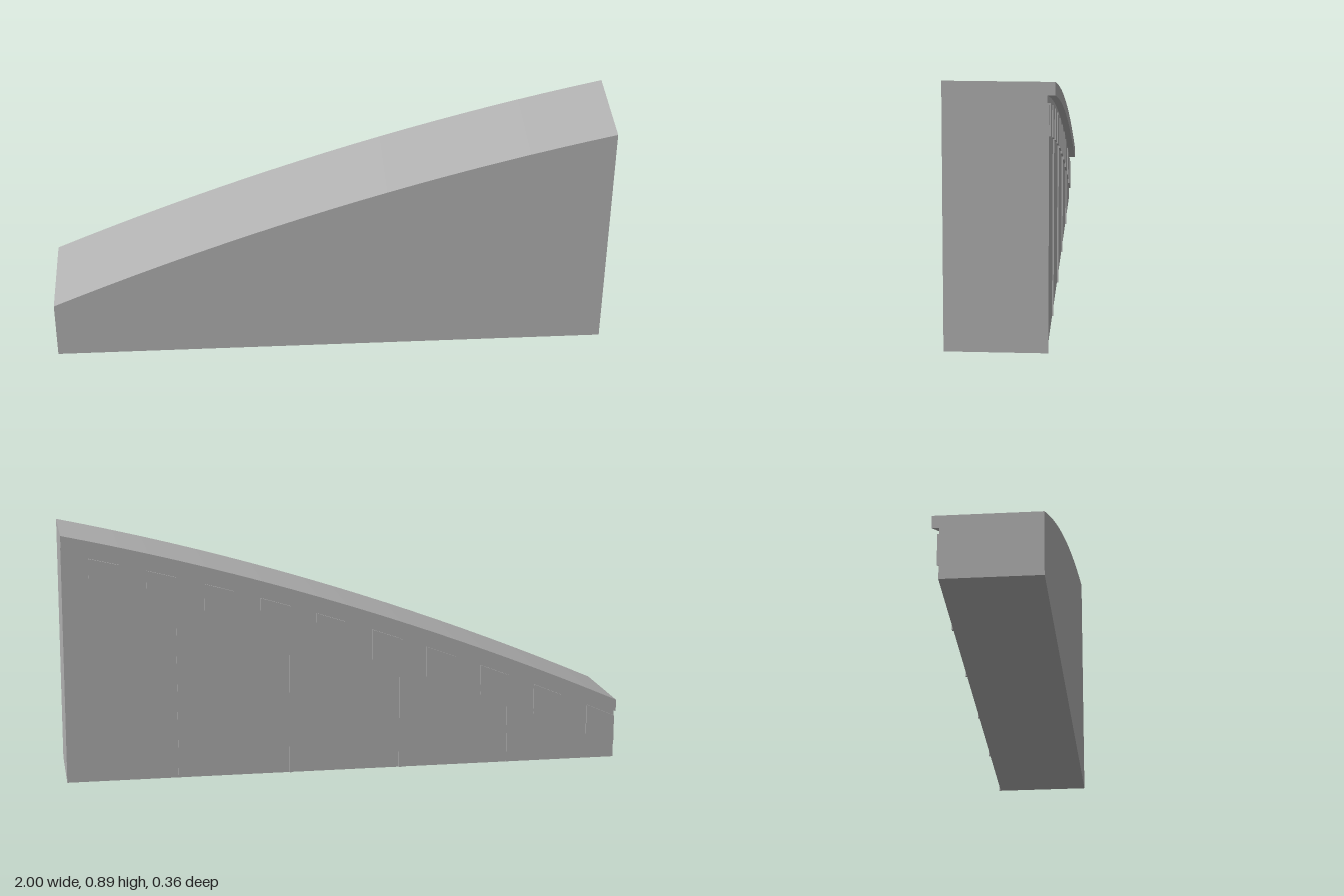
import * as THREE from 'three';

const FRONT = 0.179, BACK = -0.179, WALL = -0.155;

// Height of the curved top at x
const topAt = (x) => 0.612 + 0.334 * x - 0.056 * x * x;

// Shape between x0 and x1; each bound is a function of x
function strip(x0, x1, lower, upper, segments) {
  const points = [];
  for (let i = 0; i <= segments; i++) {
    const x = x0 + ((x1 - x0) * i) / segments;
    points.push(new THREE.Vector2(x, lower(x)));
  }
  for (let i = segments; i >= 0; i--) {
    const x = x0 + ((x1 - x0) * i) / segments;
    points.push(new THREE.Vector2(x, upper(x)));
  }
  return new THREE.Shape(points);
}

export function createModel() {
  const model = new THREE.Group();
  const stone = new THREE.MeshStandardMaterial({ color: 0xb2b2b2 });
  stone.name = 'grey stone';

  function add(name, shape, zBack, zFront) {
    const geometry = new THREE.ExtrudeGeometry(shape, { depth: zFront - zBack, bevelEnabled: false });
    geometry.translate(0, 0, zBack);
    const mesh = new THREE.Mesh(geometry, stone);
    mesh.name = name;
    model.add(mesh);
  }

  const ground = () => 0;
  const below = (d) => (x) => topAt(x) - d;

  // Solid wall with a curved top
  add('wallBody', strip(-1, 1, ground, topAt, 20), WALL, FRONT);

  // Overhanging ledge along the top of the back
  add('backLedge', strip(-1, 1, below(0.044), topAt, 20), BACK, WALL);

  // Thin upright ribs; the one at the tall end is cut in half
  for (let i = 0; i < 5; i++) {
    const x = 1 - i * 0.4;
    add('rib', strip(x - 0.005, Math.min(1, x + 0.005), ground, below(0.068), 1), WALL - 0.005, WALL);
  }

  // Raised blocks following the slope below the ledge
  for (let i = 0; i < 10; i++) {
    const x = -1 + i * 0.2;
    add('raisedBlock', strip(x, x + 0.105, below(0.175), below(0.065), 1), WALL - 0.006, WALL);
  }

  return model;
}
